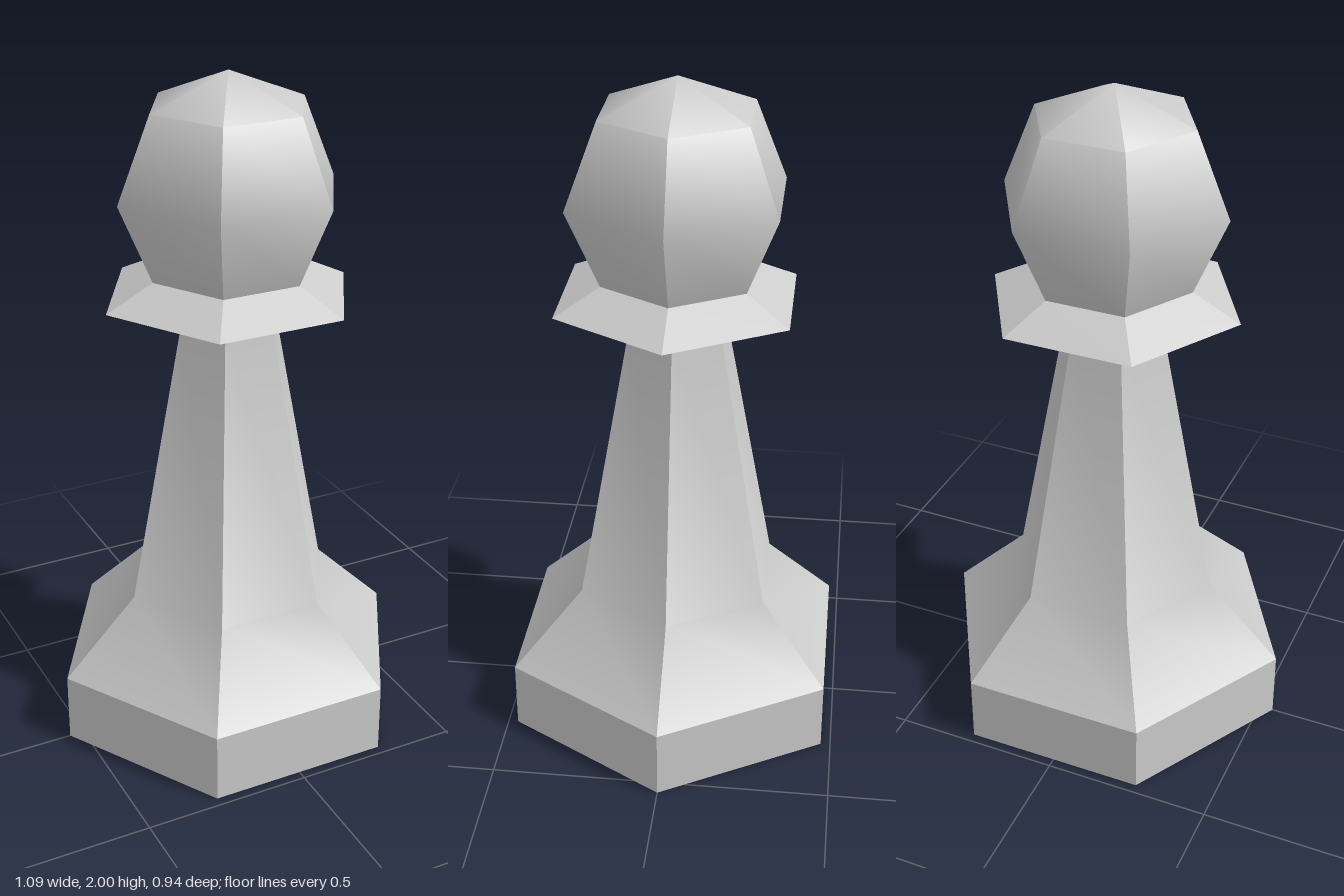
import * as THREE from 'three';
import { toCreasedNormals } from 'three/addons/utils/BufferGeometryUtils.js';

const SIDES = 6;
const material = new THREE.MeshStandardMaterial({ color: 0xcccccc });

// Six-sided turned part with corners on the x axis; edges sharper than creaseDegrees stay hard.
function turned(name, profile, creaseDegrees) {
  const points = profile.map(([r, y]) => new THREE.Vector2(r, y));
  const lathe = new THREE.LatheGeometry(points, SIDES, Math.PI / 2);
  const geometry = toCreasedNormals(lathe, THREE.MathUtils.degToRad(creaseDegrees));
  const mesh = new THREE.Mesh(geometry, material);
  mesh.name = name;
  return mesh;
}

export function createModel() {
  const group = new THREE.Group();
  group.name = 'pawn';
  group.add(
    // Flat foot block with closed underside
    turned('base', [[0, 0], [0.544, 0], [0.544, 0.21]], 35),
    // Flared skirt running smoothly into the tapering stem
    turned('stem', [[0.544, 0.21], [0.318, 0.435], [0.149, 1.295]], 35),
    // Thin sharp-rimmed collar
    turned('collar', [[0.149, 1.295], [0.378, 1.36], [0.235, 1.43]], 5),
    // Faceted head, smooth from bottom to top, hard between its sides
    turned('head', [[0.235, 1.43], [0.335, 1.665], [0.235, 1.905], [0, 2]], 50)
  );
  return group;
}
